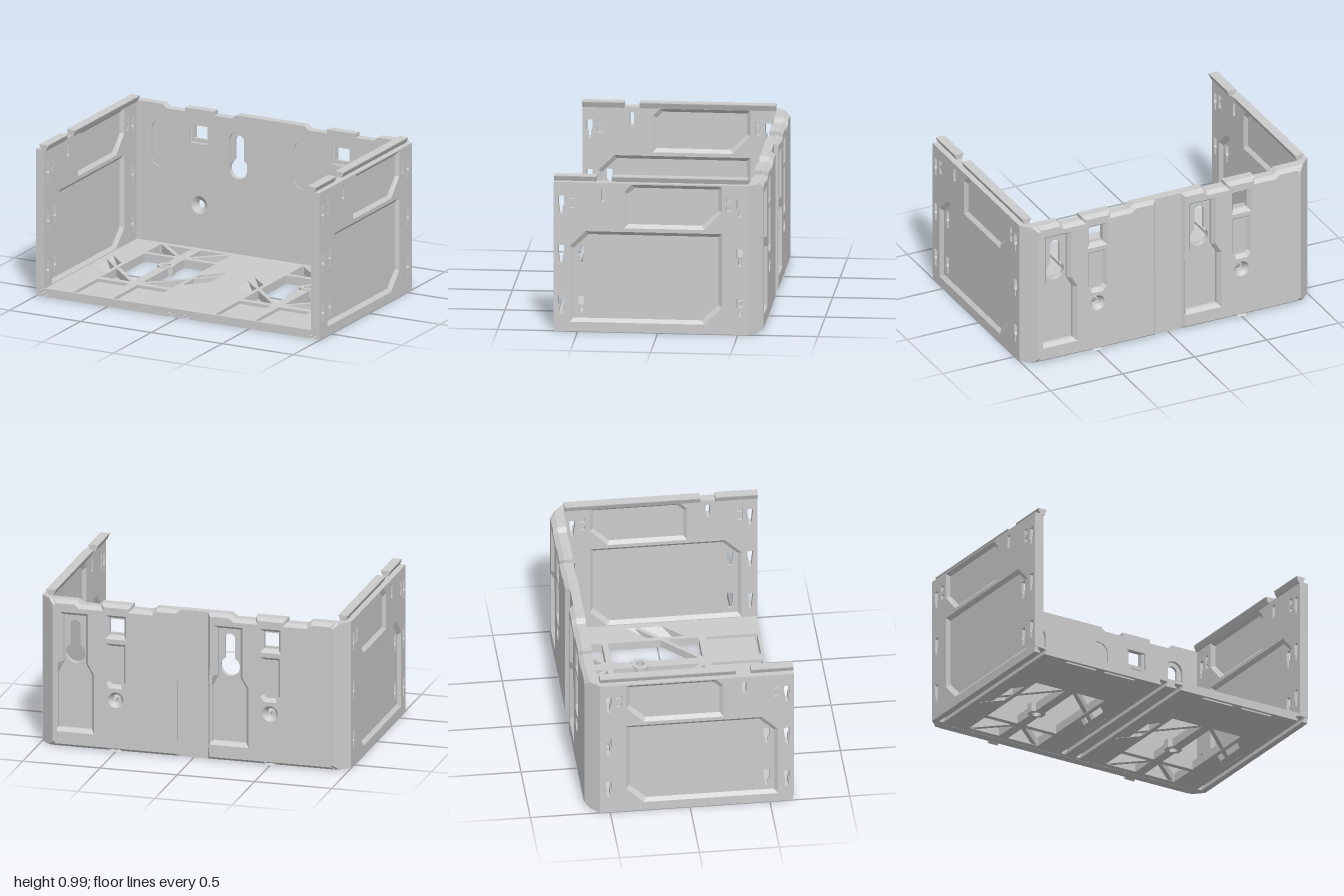
import * as THREE from 'three';
import { ConvexGeometry } from 'three/addons/geometries/ConvexGeometry.js';

const material = new THREE.MeshStandardMaterial({ color: 0xcccccc, flatShading: true, side: THREE.DoubleSide });
const V = (x, y, z) => new THREE.Vector3(x, y, z);
const poly = (pts) => new THREE.Shape(pts.map(([x, y]) => new THREE.Vector2(x, y)));
const rect = (x0, x1, y0, y1) => poly([[x0, y0], [x1, y0], [x1, y1], [x0, y1]]);
const circle = (x, y, r) => new THREE.Shape().absarc(x, y, r, 0, Math.PI * 2, false);

function slab(shape, holes, depth, bevel = {}) {
  shape.holes.push(...holes);
  return new THREE.ExtrudeGeometry(shape, { depth, bevelEnabled: false, curveSegments: 14, ...bevel });
}

// Round hole with a slot above it
function keyhole(x, y, r, half, top) {
  const a = Math.acos(half / r);
  return new THREE.Shape()
    .absarc(x, y, r, Math.PI - a, a + Math.PI * 2, false)
    .absarc(x, top - half, half, 0, Math.PI, false);
}

// Sloped strip between two matching outlines
function band(outer, inner, z0, z1) {
  const v = [];
  outer.forEach((a, i) => {
    const j = (i + 1) % outer.length, b = outer[j], c = inner[j], d = inner[i];
    v.push(...a, z0, ...b, z0, ...c, z1, ...a, z0, ...c, z1, ...d, z1);
  });
  const g = new THREE.BufferGeometry();
  g.setAttribute('position', new THREE.Float32BufferAttribute(v, 3));
  g.computeVertexNormals();
  return g;
}

function inset(pts, d) {
  const box = new THREE.Box2().setFromPoints(pts.map(([x, y]) => new THREE.Vector2(x, y)));
  const c = box.getCenter(new THREE.Vector2()), s = box.getSize(new THREE.Vector2());
  return pts.map(([x, y]) => [c.x + (x - c.x) * (1 - 2 * d / s.x), c.y + (y - c.y) * (1 - 2 * d / s.y)]);
}

export function createModel() {
  const model = new THREE.Group();
  const add = (name, geometry, parent = model) => {
    const mesh = new THREE.Mesh(geometry, material);
    mesh.name = name;
    parent.add(mesh);
    return mesh;
  };
  const box = (name, x0, x1, y0, y1, z0, z1) => add(name,
    new THREE.BoxGeometry(x1 - x0, y1 - y0, z1 - z0).translate((x0 + x1) / 2, (y0 + y1) / 2, (z0 + z1) / 2));
  const cells = [-0.5, 0.5], signs = [-1, 1];

  // Side walls, drawn in (z, y), with panels sunk on both faces
  const lower = [[0.55, 0.06], [-0.29, 0.06], [-0.4, 0.17], [-0.4, 0.643], [0.45, 0.643], [0.55, 0.545]];
  const upper = [[0.21, 0.667], [-0.29, 0.667], [-0.4, 0.783], [-0.4, 0.947], [0.165, 0.947], [0.21, 0.9]];
  const slot = (z, top) => poly([[z - 0.018, top], [z - 0.018, top - 0.065], [z - 0.01, top - 0.075], [z - 0.01, top - 0.115],
    [z + 0.01, top - 0.115], [z + 0.01, top - 0.075], [z + 0.018, top - 0.065], [z + 0.018, top]]);
  for (const s of signs) {
    const wall = new THREE.Group();
    wall.name = s > 0 ? 'leftWall' : 'rightWall';
    wall.rotation.y = -Math.PI / 2;
    wall.position.x = s * 0.97;
    model.add(wall);
    const holes = [lower, upper].map(poly);
    for (const z of [0.605, -0.51]) for (const top of [0.867, 0.55, 0.23]) holes.push(slot(z, top));
    holes.push(keyhole(0.34, 0.845, 0.014, 0.014, 0.922));
    for (const z of [0.54, -0.445]) {
      holes.push(rect(z - 0.015, z + 0.015, 0.79, 0.88));
      add('catchPocket', new THREE.BoxGeometry(0.03, 0.09, 0.02).translate(z, 0.835, 0), wall);
      add('catchBar', new THREE.BoxGeometry(0.03, 0.025, 0.05).translate(z, 0.835, 0), wall);
    }
    add('wallPlate', slab(rect(-0.565, 0.65, 0.035, 0.955), holes, 0.06).translate(0, 0, -0.03), wall);
    for (const outline of [lower, upper]) {
      const inner = inset(outline, 0.023);
      const cuts = outline === lower ? [slot(0.48, 0.55), slot(0.48, 0.23)] : [];
      add('sunkenPanel', slab(poly(inner), cuts, 0.02).translate(0, 0, -0.01), wall);
      for (const f of signs) add('panelBevel', band(outline, inner, f * 0.03, f * 0.01), wall);
    }
    // Dovetail rail on the top edge, with a gap
    for (const [z0, z1] of [[-0.56, 0.29], [0.385, 0.65]]) {
      const x = s * 0.946;
      add('dovetailRail', slab(poly([[x - 0.015, 0.95], [x + 0.015, 0.95], [x + 0.03, 0.985], [x + 0.03, 0.99],
        [x - 0.03, 0.99], [x - 0.03, 0.985]]), [], z1 - z0).translate(0, 0, z0));
    }
  }

  // Floor, stacked from layers so the underside gets grooves and the top gets pockets
  const layers = [[0, 0.015, 0.016, false], [0.015, 0.035, 0.028, false], [0.035, 0.055, 0, true]];
  for (const [y0, y1, groove, isTop] of layers) {
    const outline = [[-1, -0.565], [1, -0.565], [1, 0.645]];
    if (groove) for (const x of [0.946, 0.055, -0.055, -0.946]) {
      const h = Math.min(groove, 0.05);
      outline.push([x + h, 0.645], [x + h, -0.54], [x - h, -0.54], [x - h, 0.645]);
    }
    outline.push([-1, 0.645]);
    const holes = [];
    for (const c of cells) {
      holes.push(circle(c, -0.135, 0.027));
      for (const s of signs) {
        const cut = (pts) => holes.push(poly(pts.map(([u, z]) => [c + s * u, z])));
        const window = (z0, z1) => cut([[0.032, z0], [0.25, z0], [0.25, z1], [0.032, z1]]);
        window(-0.525, -0.345);
        window(-0.31, 0.26);
        cut([[0.4, -0.18], [0.278, -0.06], [0.278, 0.17], [0.4, 0.045]]);
        if (isTop) window(0.305, 0.625);
        else window(0.608, 0.625);
      }
    }
    add('floorLayer', slab(poly(outline), holes, y1 - y0).rotateX(Math.PI / 2).translate(0, y1, 0));
  }
  for (const c of cells) {
    const octagon = Array.from({ length: 8 }, (_, i) => {
      const a = (i + 0.5) * Math.PI / 4;
      return [c + 0.057 * Math.cos(a), -0.135 + 0.057 * Math.sin(a)];
    });
    add('screwBoss', slab(poly(octagon), [circle(c, -0.135, 0.027)], 0.06).rotateX(Math.PI / 2).translate(0, 0.062, 0));
    for (const s of signs) {
      // Diagonal struts across the windows
      for (const [u0, z0, u1, z1] of [[0.26, -0.56, 0.03, -0.35], [0.4, -0.11, 0.02, 0.265]]) {
        const dx = s * (u1 - u0), dz = z1 - z0;
        const strut = add('floorStrut', new THREE.BoxGeometry(Math.hypot(dx, dz), 0.05, 0.026));
        strut.position.set(c + s * (u0 + u1) / 2, 0.029, (z0 + z1) / 2);
        strut.rotation.y = -Math.atan2(dz, dx);
      }
      // Sloped outer side of the slanted window
      const x = c + s * 0.4, xi = c + s * 0.335;
      add('windowSlope', new ConvexGeometry([V(x, 0.054, -0.18), V(x, 0.054, 0.045), V(x, 0.002, -0.18),
        V(x, 0.002, 0.045), V(xi, 0.002, -0.116), V(xi, 0.002, 0.112)]));
    }
  }

  // Back wall: two thin layers make the stepped keyholes and countersinks
  const topEdge = [];
  for (const c of [0.5, -0.5])
    for (const [u, y] of [[0.26, 0.955], [0.23, 0.93], [0.1, 0.93], [0.1, 0.955], [-0.1, 0.955], [-0.1, 0.93], [-0.23, 0.93], [-0.26, 0.955]])
      topEdge.push([c + u, y]);
  for (const inside of [true, false]) {
    const holes = [];
    for (const c of cells) {
      holes.push(inside ? rect(c - 0.065, c + 0.065, 0.735, 0.85) : rect(c - 0.048, c + 0.048, 0.76, 0.85));
      holes.push(circle(c, 0.335, inside ? 0.057 : 0.028));
      for (const s of signs) holes.push(keyhole(c + s * 0.273, 0.605, 0.063, inside ? 0.063 : 0.032, inside ? 0.848 : 0.82));
    }
    add('backPlate', slab(poly([[-0.95, 0], [0.95, 0], [0.95, 0.955], ...topEdge, [-0.95, 0.955]]), holes, 0.018)
      .translate(0, 0, inside ? -0.585 : -0.603));
  }
  for (const c of cells) {
    add('countersink', new THREE.CylinderGeometry(0.057, 0.028, 0.018, 24, 1, true).rotateX(Math.PI / 2).translate(c, 0.335, -0.576));
    box('clipTab', c - 0.035, c + 0.035, 0.722, 0.732, -0.575, -0.56);

    // Raised outer relief with bevelled channels and pockets
    const outline = [[c - 0.41, 0], [c + 0.41, 0], [c + 0.41, 0.955],
      ...topEdge.filter(([x]) => x * c > 0), [c - 0.41, 0.955]];
    const holes = [rect(c - 0.048, c + 0.048, 0.75, 0.865), circle(c, 0.335, 0.03),
      rect(c - 0.018, c + 0.018, 0.02, 0.24),
      poly([[c - 0.045, 0.45], [c - 0.03, 0.43], [c + 0.03, 0.43], [c + 0.045, 0.45], [c + 0.045, 0.68], [c - 0.045, 0.68]])];
    for (const s of signs)
      holes.push(poly([[0.16, 0.12], [0.38, 0.12], [0.38, 0.48], [0.345, 0.55], [0.345, 0.86], [0.2, 0.86], [0.2, 0.55], [0.16, 0.48]]
        .map(([u, y]) => [c + s * u, y])));
    add('backRelief', slab(poly(outline), holes, 0.02,
      { bevelEnabled: true, bevelThickness: 0.028, bevelSize: 0.02, bevelOffset: -0.02, bevelSegments: 1 }).translate(0, 0, -0.624));
    box('pocketFloor', c - 0.06, c + 0.06, 0.42, 0.69, -0.62, -0.595);
  }
  box('backSpine', -0.1, 0.1, 0, 0.955, -0.625, -0.59);

  // Chamfered rear corners
  for (const s of signs) {
    const pts = [];
    for (const [x, z, y0, y1] of [[0.9, -0.565, 0, 0.955], [1, -0.56, 0, 0.955], [0.94, -0.62, 0, 0.955],
      [0.9, -0.62, 0, 0.955], [0.91, -0.652, 0.03, 0.925], [0.88, -0.652, 0.03, 0.925]])
      pts.push(V(s * x, y0, z), V(s * x, y1, z));
    add('rearCorner', new ConvexGeometry(pts));
  }
  return model;
}
